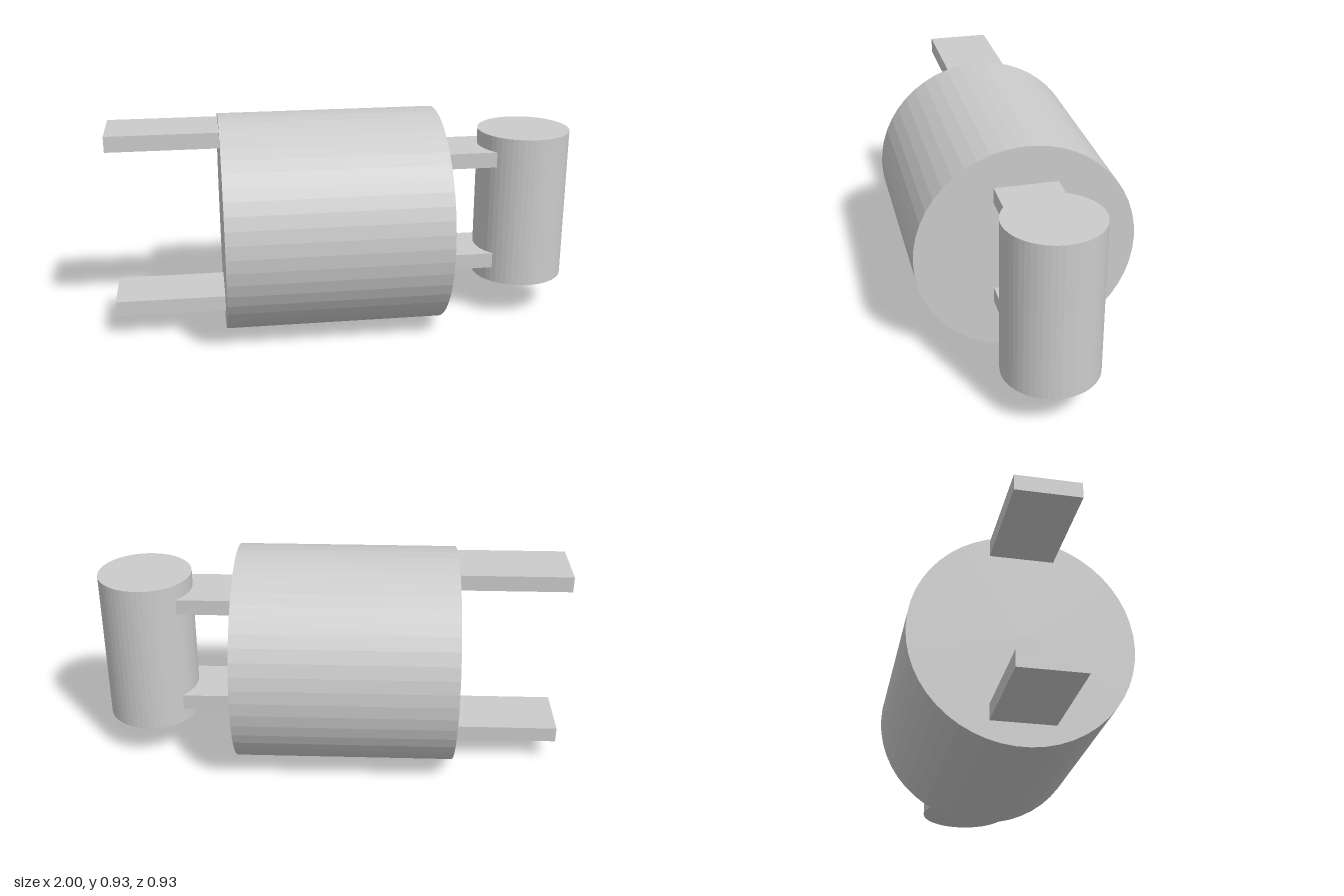
import * as THREE from 'three';

export function createModel() {
  const model = new THREE.Group();
  const material = new THREE.MeshStandardMaterial({ color: 0xcccccc, flatShading: true });

  const add = (name, geometry, x, y) => {
    const mesh = new THREE.Mesh(geometry, material);
    mesh.name = name;
    mesh.position.set(x, y, 0);
    model.add(mesh);
    return mesh;
  };

  // Large drum lying along x
  const midY = 0.467;
  const drum = new THREE.CylinderGeometry(0.467, 0.467, 0.933, 50).rotateZ(Math.PI / 2);
  add('drum', drum, -0.067, midY);

  // Small upright cylinder at the side
  add('uprightCylinder', new THREE.CylinderGeometry(0.2, 0.2, 0.667, 50), 0.8, 0.5);

  // Flat bars from x0 to x1
  const bar = (name, x0, x1, y) =>
    add(name, new THREE.BoxGeometry(x1 - x0, 0.067, 0.267), (x0 + x1) / 2, y);

  // Upper and lower pairs: connecting arms and free-ended prongs
  bar('upperArm', 0.38, 0.65, 0.733);
  bar('lowerArm', 0.38, 0.65, 0.267);
  bar('upperProng', -1, -0.5, 0.867);
  bar('lowerProng', -1, -0.5, 0.133);

  return model;
}
